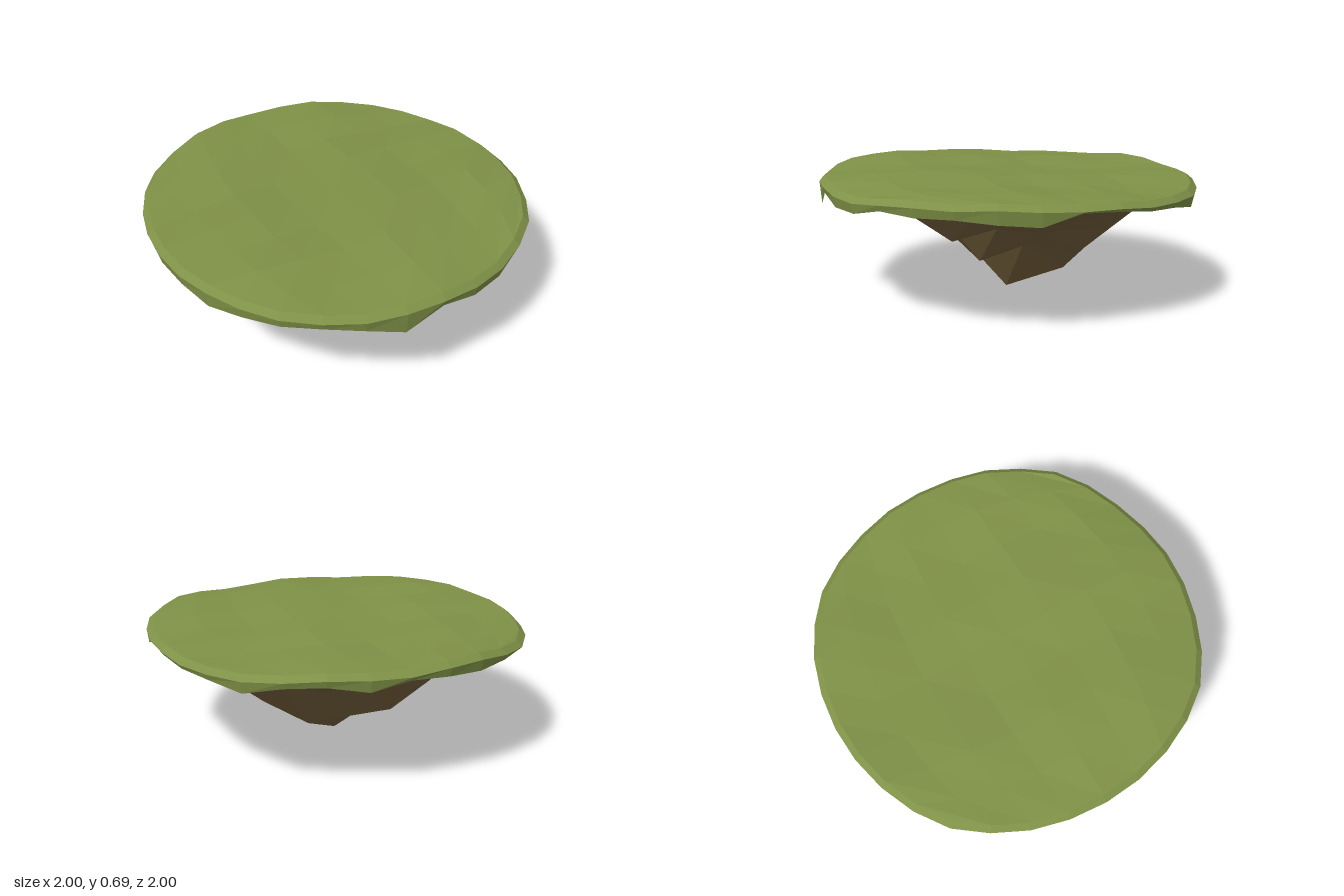
import * as THREE from 'three';

const N = 4; // grid cells from the centre to the edge

// Bend a square grid cell (i, j from -4 to 4) into a round disc
function discPoint(i, j, radius) {
  const u = i / N, v = j / N, a = u * u, b = v * v;
  const pull = 0.07 * a * b;
  return [radius * u * (1 - 0.2 * b - pull), radius * v * (1 - 0.2 * a - pull)];
}

function build(positions, index, material, name) {
  const g = new THREE.BufferGeometry();
  g.setAttribute('position', new THREE.Float32BufferAttribute(positions, 3));
  g.setIndex(index);
  g.computeVertexNormals();
  const mesh = new THREE.Mesh(g, material);
  mesh.name = name;
  return mesh;
}

// Round sheet whose height comes from a function of the grid cell
function discSheet(radius, height, down, material, name) {
  const positions = [], index = [], w = 2 * N + 1;
  for (let j = -N; j <= N; j++) {
    for (let i = -N; i <= N; i++) {
      const [x, z] = discPoint(i, j, radius);
      positions.push(x, height(i, j, x, z), z);
    }
  }
  for (let j = 0; j < w - 1; j++) {
    for (let i = 0; i < w - 1; i++) {
      const a = j * w + i, b = a + 1, c = a + w, d = c + 1;
      if (down) index.push(a, b, c, b, d, c);
      else index.push(a, c, b, b, c, d);
    }
  }
  return build(positions, index, material, name);
}

// Edge cells in order: from the front middle round by +x
function edgeCells() {
  const cells = [];
  for (let k = 0; k < 8 * N; k++) {
    const s = (k + N) % (8 * N), side = Math.floor(s / (2 * N)), t = (s % (2 * N)) - N;
    cells.push([[t, N], [N, -t], [-t, -N], [-N, t]][side]);
  }
  return cells;
}

// Gentle waves of the turf
const turfHeight = (x, z) =>
  0.655 + 0.017 * Math.sin(3.3 * z) - 0.011 * x
  + 0.008 * Math.sin(9 * x + 2 * z) + 0.005 * Math.sin(13 * z - 3 * x)
  - 0.016 * Math.pow(x * x + z * z, 3);

// Underside heights, rows from back to front, columns from -x to +x
const ROCK = [
  [0.56, 0.54, 0.52, 0.50, 0.50, 0.53, 0.57],
  [0.54, 0.45, 0.40, 0.44, 0.39, 0.45, 0.53],
  [0.49, 0.29, 0.155, 0.15, 0.14, 0.29, 0.47],
  [0.50, 0.36, 0.31, 0.00, 0.28, 0.40, 0.49],
  [0.52, 0.36, 0.31, 0.28, 0.22, 0.44, 0.53],
  [0.54, 0.42, 0.39, 0.49, 0.52, 0.39, 0.54],
  [0.57, 0.55, 0.53, 0.56, 0.57, 0.55, 0.57],
];

// Lower edge of the hanging turf, from the front middle round by +x
const FRINGE = [
  0.59, 0.55, 0.55, 0.59, 0.58, 0.58, 0.56, 0.545,
  0.60, 0.59, 0.57, 0.56, 0.53, 0.57, 0.58, 0.55,
  0.59, 0.58, 0.57, 0.58, 0.59, 0.58, 0.59, 0.58,
  0.57, 0.57, 0.55, 0.58, 0.59, 0.59, 0.56, 0.50,
];

export function createModel() {
  const group = new THREE.Group();
  group.name = 'floatingIsland';
  const grass = new THREE.MeshStandardMaterial({ color: 0x7f9147, flatShading: true, side: THREE.DoubleSide });
  const rock = new THREE.MeshStandardMaterial({ color: 0x75603c, flatShading: true, side: THREE.DoubleSide });

  // Grassy top
  group.add(discSheet(0.967, (i, j, x, z) => turfHeight(x, z), false, grass, 'grassTop'));

  // Rim: bevel out from the top, then hang down as an uneven fringe
  const positions = [], index = [], cells = edgeCells(), count = cells.length;
  cells.forEach(([i, j], k) => {
    const [x, z] = discPoint(i, j, 0.967);
    const y = turfHeight(x, z);
    const [ox, oz] = discPoint(i, j, 1);
    const [lx, lz] = discPoint(i, j, 0.99);
    positions.push(x, y, z, ox, y - 0.028, oz, lx, FRINGE[k], lz);
    const n = (k + 1) % count;
    for (let r = 0; r < 2; r++) {
      const a = 3 * k + r, b = 3 * n + r;
      index.push(a, a + 1, b, b, a + 1, b + 1);
    }
  });
  group.add(build(positions, index, grass, 'grassRim'));

  // Jagged rock underside
  const rockHeight = (i, j) =>
    Math.max(Math.abs(i), Math.abs(j)) === N ? 0.6 : ROCK[j + 3][i + 3];
  group.add(discSheet(0.965, rockHeight, true, rock, 'rockUnderside'));
  return group;
}
